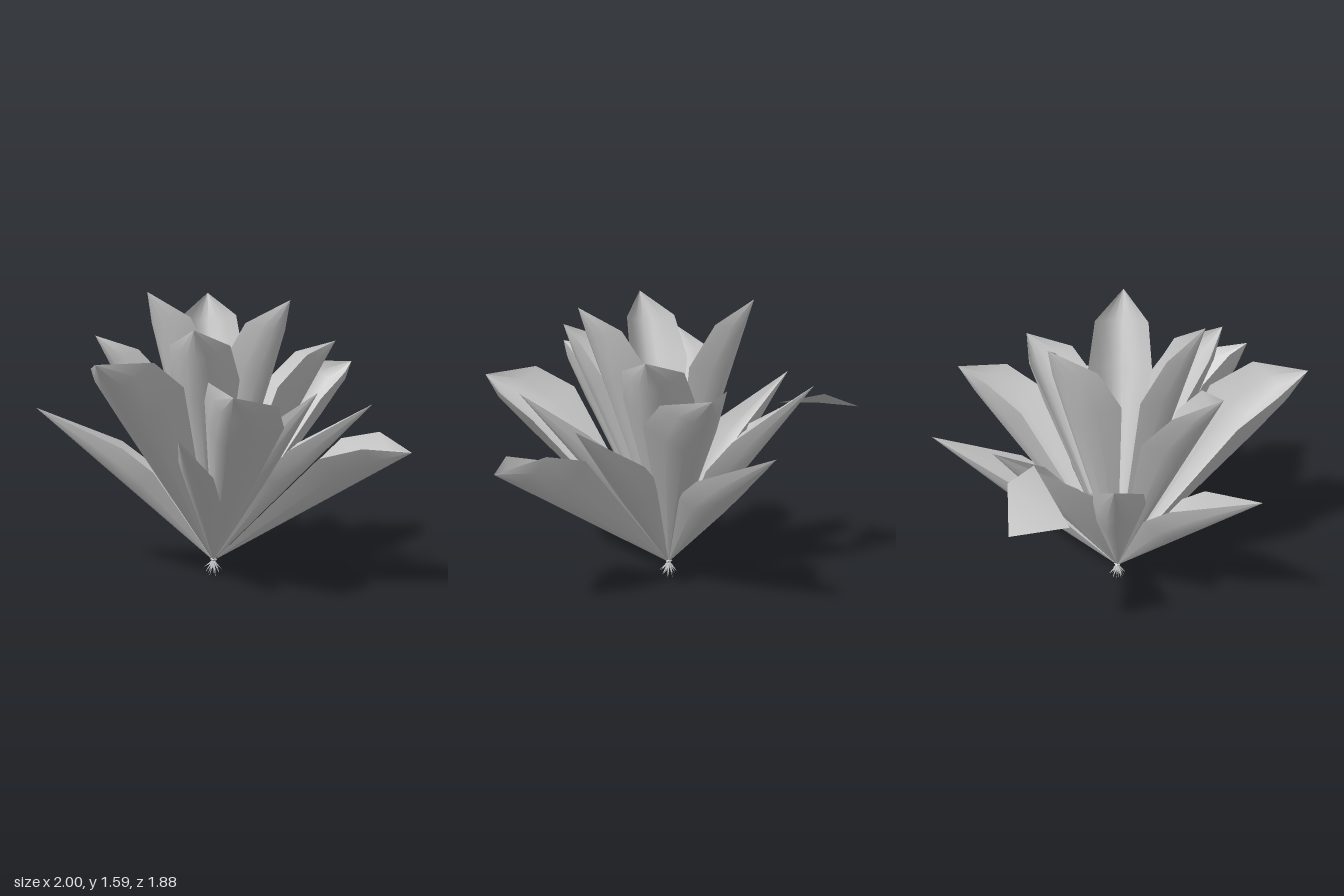
import * as THREE from 'three';

const material = new THREE.MeshStandardMaterial({ color: 0xcccccc, side: THREE.DoubleSide });
const base = new THREE.Vector3(-0.12, 0.09, -0.04);

// Cross-section rows: [position along rib, half width, edge lift], relative to leaf length
const ROUND = [[0, 0, 0], [0.73, 0.137, 0.165], [0.89, 0.115, 0.115], [1, 0, 0]];
const POINTED = [[0, 0, 0], [0.47, 0.115, 0.13], [0.63, 0.105, 0.12], [1, 0, 0]];
const NARROW = [[0, 0, 0], [0.5, 0.08, 0.06], [0.72, 0.085, 0.05], [1, 0, 0]];

function surface(positions, index) {
  const g = new THREE.BufferGeometry();
  g.setAttribute('position', new THREE.Float32BufferAttribute(positions, 3));
  g.setIndex(index);
  g.computeVertexNormals();
  return g;
}

// Trough-shaped leaf from the base to its tip
function leafGeometry(tip, rows, width, lift, roll) {
  const rib = new THREE.Vector3(...tip).sub(base);
  const len = rib.length();
  const dir = rib.clone().normalize();
  const side = new THREE.Vector3().crossVectors(dir, new THREE.Vector3(0, 1, 0)).normalize();
  const up = new THREE.Vector3().crossVectors(side, dir);
  const angle = THREE.MathUtils.degToRad(roll);
  side.applyAxisAngle(dir, angle);
  up.applyAxisAngle(dir, angle);

  const cols = 6, positions = [], index = [];
  for (const [t, w, h] of rows) {
    for (let c = 0; c <= cols; c++) {
      const u = (c / cols) * 2 - 1;
      const p = base.clone().addScaledVector(rib, t)
        .addScaledVector(side, u * w * width * len)
        .addScaledVector(up, u * u * h * lift * len);
      positions.push(p.x, p.y, p.z);
    }
  }
  // The first and last rows are single points, so they take one triangle per column
  for (let r = 0; r < rows.length - 1; r++) {
    for (let c = 0; c < cols; c++) {
      const a = r * (cols + 1) + c, b = a + cols + 1;
      if (r > 0) index.push(a, a + 1, b);
      if (r < rows.length - 2) index.push(a + 1, b + 1, b);
    }
  }
  return surface(positions, index);
}

export function createModel() {
  const model = new THREE.Group();
  const add = (name, geometry, parent = model) => {
    const mesh = new THREE.Mesh(geometry, material);
    mesh.name = name;
    parent.add(mesh);
    return mesh;
  };

  // Leaves: tip, rows, width scale, lift scale, roll in degrees
  const leaves = [
    // upright inner leaves
    [[-0.35, 1.59, 0.33], ROUND, 0.8, 0.7, 0],
    [[-0.29, 1.58, -0.46], ROUND, 0.85, 0.75, 0],
    [[0.37, 1.55, 0.19], ROUND, 0.8, 0.7, 0],
    [[0.0, 1.41, 0.61], ROUND, 0.9, 0.8, 0],
    [[-0.67, 1.36, 0.28], ROUND, 0.95, 0.85, 8],
    [[0.5, 1.32, -0.33], ROUND, 0.97, 0.85, 0],
    // broad outer leaves
    [[-0.37, 1.26, 0.93], ROUND, 1, 0.95, 10],
    [[0.3, 1.13, 0.94], ROUND, 1.02, 0.95, -25],
    [[0.52, 1.18, -0.72], ROUND, 1.05, 0.95, 12],
    [[1.0, 0.8, 0.2], ROUND, 1, 1, 10],
    // pointed outer leaves
    [[-1.0, 0.97, 0.34], POINTED, 1, 1, 0],
    [[-0.88, 1.12, -0.36], POINTED, 1, 1, 0],
    [[-0.38, 1.14, -0.78], POINTED, 1, 0.9, 0],
    [[0.3, 0.9, -0.94], POINTED, 1.15, 0.9, 0],
    [[0.75, 1.0, -0.1], POINTED, 0.95, 0.9, 0],
    [[0.57, 1.11, 0.43], POINTED, 1, 0.9, 0],
    [[0.0, 0.91, 0.84], NARROW, 1, 1, -25],
  ];
  leaves.forEach(([tip, rows, width, lift, roll], i) =>
    add(`leaf${i + 1}`, leafGeometry(tip, rows, width, lift, roll)));

  // Torn leaf: lower half at the base and a loose end piece
  add('tornLeafBase', surface(
    [...base.toArray(), -0.5, 0.86, -0.32, -0.46, 0.78, -0.44, -0.38, 1.0, -0.58],
    [0, 2, 1, 0, 3, 2, 1, 2, 3]));
  add('tornLeafEnd', surface(
    [-0.38, 1.03, -0.58, -0.84, 0.96, -0.56, -0.82, 0.97, -0.84, -0.55, 1.07, -0.76],
    [0, 1, 3, 1, 2, 3]));

  // Tuft of thin roots under the leaves
  const roots = new THREE.Group();
  roots.name = 'roots';
  model.add(roots);
  for (let i = 0; i < 18; i++) {
    const a = i * 2.4, spread = 0.015 + 0.04 * Math.sqrt(i / 17);
    const end = new THREE.Vector3(Math.cos(a) * spread, -0.09 + 0.05 * (i / 17), Math.sin(a) * spread);
    const length = end.length() + 0.02;
    const geometry = new THREE.ConeGeometry(0.009, length, 4).translate(0, length / 2 - 0.02, 0);
    const root = add('root', geometry, roots);
    root.position.copy(base);
    root.quaternion.setFromUnitVectors(new THREE.Vector3(0, 1, 0), end.normalize());
  }
  return model;
}
